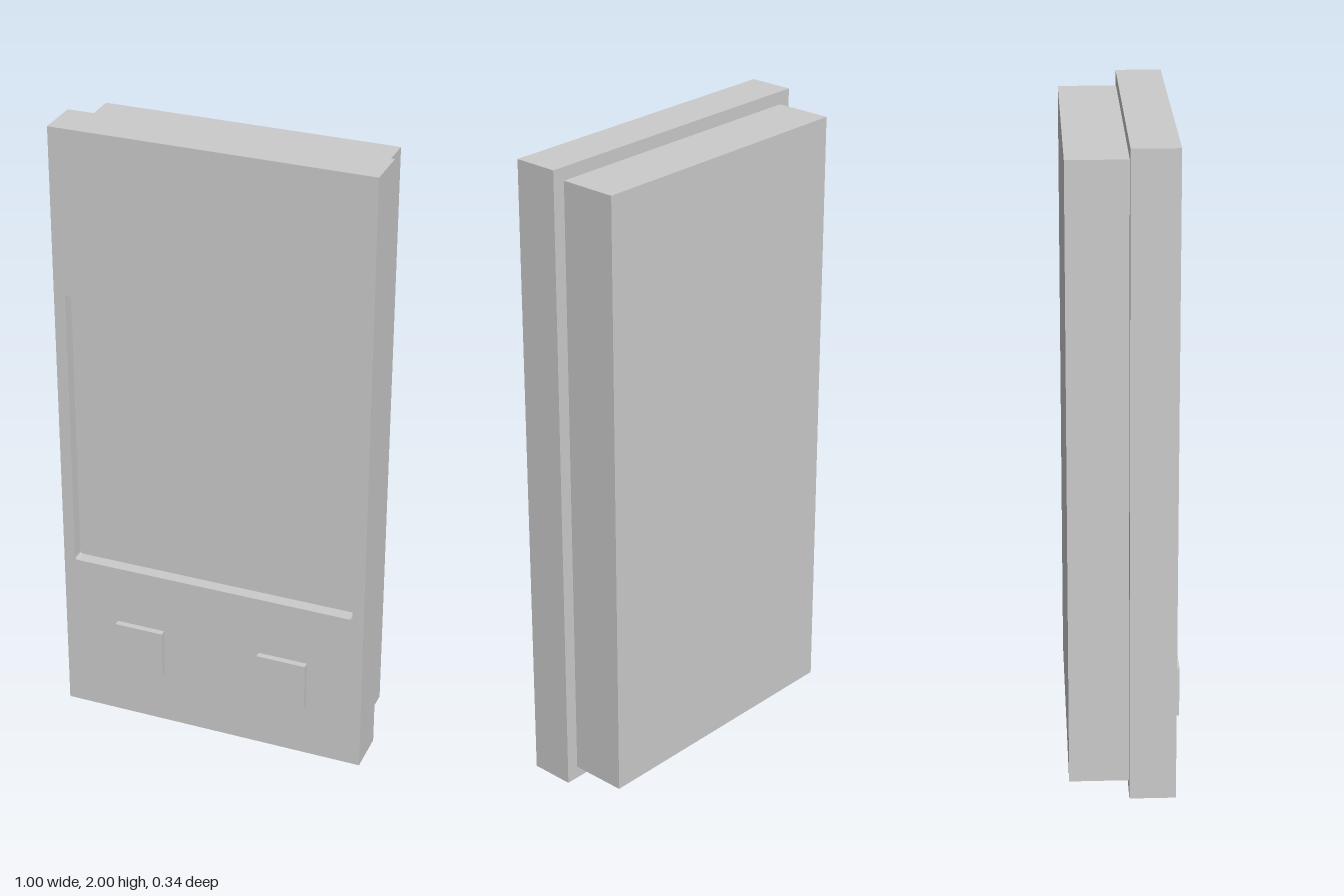
import * as THREE from 'three';

const material = new THREE.MeshStandardMaterial({ color: 0xcccccc });

function box(name, w, h, d, x, y, z) {
  const mesh = new THREE.Mesh(new THREE.BoxGeometry(w, h, d), material);
  mesh.name = name;
  mesh.position.set(x, y, z);
  return mesh;
}

// Rectangle outline with small rounded corners
function roundedRect(path, x0, y0, x1, y1, r) {
  path.moveTo(x0 + r, y0);
  path.lineTo(x1 - r, y0);
  path.quadraticCurveTo(x1, y0, x1, y0 + r);
  path.lineTo(x1, y1 - r);
  path.quadraticCurveTo(x1, y1, x1 - r, y1);
  path.lineTo(x0 + r, y1);
  path.quadraticCurveTo(x0, y1, x0, y1 - r);
  path.lineTo(x0, y0 + r);
  path.quadraticCurveTo(x0, y0, x0 + r, y0);
  return path;
}

export function createModel() {
  const group = new THREE.Group();
  group.name = 'wallTerminal';

  const front = 0.15, back = 0.01, recess = 0.04;

  // Front panel: framed layer with the screen opening, over a solid layer
  const panel = new THREE.Group();
  panel.name = 'frontPanel';
  const outline = new THREE.Shape([
    new THREE.Vector2(-0.5, 0), new THREE.Vector2(0.5, 0),
    new THREE.Vector2(0.5, 2), new THREE.Vector2(-0.5, 2),
  ]);
  outline.holes.push(roundedRect(new THREE.Path(), -0.463, 0.54, 0.463, 1.466, 0.01));
  const frame = new THREE.Mesh(
    new THREE.ExtrudeGeometry(outline, { depth: recess, bevelEnabled: false, curveSegments: 4 }),
    material
  );
  frame.name = 'screenFrame';
  frame.position.z = front - recess;
  const baseDepth = front - recess - back;
  panel.add(frame, box('screenBase', 1, 2, baseDepth, 0, 1, back + baseDepth / 2));
  group.add(panel);

  // Rear housing
  group.add(box('rearHousing', 0.92, 1.92, 0.18, 0, 1, -0.08));

  // Two square buttons below the screen
  for (const side of [-1, 1]) {
    group.add(box(side > 0 ? 'leftButton' : 'rightButton', 0.16, 0.16, 0.02, side * 0.24, 0.262, front + 0.01));
  }

  return group;
}
